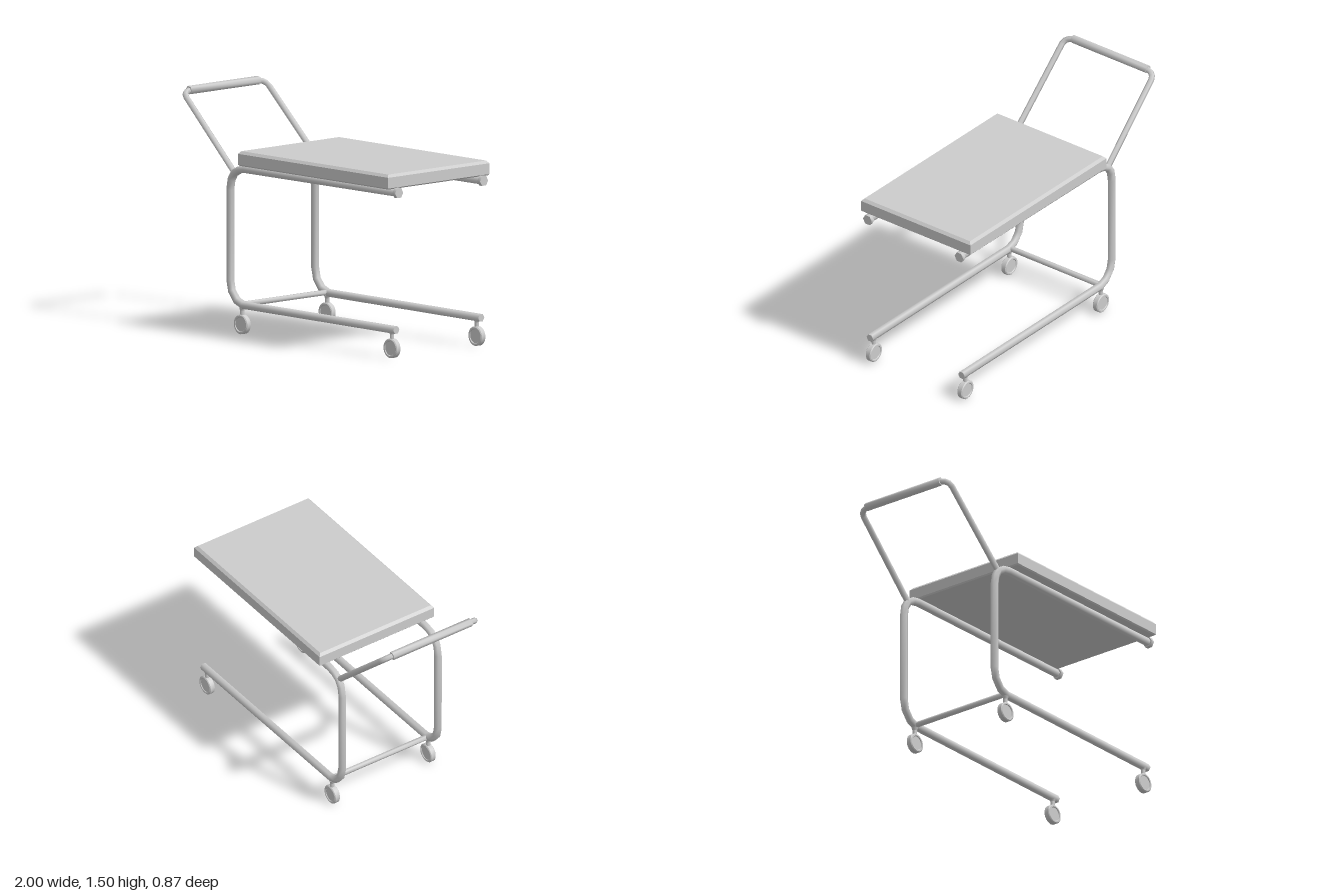
import * as THREE from 'three';
import { toCreasedNormals } from 'three/addons/utils/BufferGeometryUtils.js';
import { ConvexGeometry } from 'three/addons/geometries/ConvexGeometry.js';

const material = new THREE.MeshStandardMaterial({ color: 0xcccccc });
const V = (x, y, z) => new THREE.Vector3(x, y, z);
const X = V(1, 0, 0), Z = V(0, 0, 1);
const SIDE = 0.365; // distance of each side frame from the middle

function add(parent, name, geometry) {
  const mesh = new THREE.Mesh(geometry, material);
  mesh.name = name;
  parent.add(mesh);
  return mesh;
}

// Capped six-sided tube along a planar path; "normal" is the normal of that plane
function hexTube(path, normal, radius) {
  const sides = 6, pos = [], index = [], last = path.length - 1;
  path.forEach((p, i) => {
    const before = path[Math.max(i - 1, 0)], after = path[Math.min(i + 1, last)];
    const tangent = after.clone().sub(p).normalize().add(p.clone().sub(before).normalize()).normalize();
    const across = tangent.cross(normal).normalize();
    for (let j = 0; j < sides; j++) {
      const a = (j / sides) * Math.PI * 2;
      const q = p.clone().addScaledVector(normal, radius * Math.cos(a)).addScaledVector(across, radius * Math.sin(a));
      pos.push(q.x, q.y, q.z);
    }
  });
  pos.push(...path[0].toArray(), ...path[last].toArray());
  const start = path.length * sides, end = start + 1;
  for (let j = 0; j < sides; j++) {
    const k = (j + 1) % sides;
    for (let i = 0; i < last; i++) {
      const a = i * sides, b = a + sides;
      index.push(a + j, a + k, b + k, a + j, b + k, b + j);
    }
    index.push(start, k, j, end, last * sides + j, last * sides + k);
  }
  const geometry = new THREE.BufferGeometry();
  geometry.setAttribute('position', new THREE.Float32BufferAttribute(pos, 3));
  geometry.setIndex(index);
  return toCreasedNormals(geometry, 1.2);
}

// Wheel with recessed hub faces, on a short flared stem
function makeCaster(x, z) {
  const caster = new THREE.Group();
  caster.name = 'caster';
  const half = [[0.0, 0.015], [0.044, 0.015], [0.047, 0.02], [0.056, 0.02], [0.062, 0.015]];
  const profile = [
    ...half.map(([r, h]) => new THREE.Vector2(r, -h)),
    ...half.slice().reverse().map(([r, h]) => new THREE.Vector2(r, h)),
  ];
  const wheel = new THREE.LatheGeometry(profile, 18).rotateX(Math.PI / 2);
  add(caster, 'wheel', toCreasedNormals(wheel, 0.6)).position.y = 0.062;
  add(caster, 'stem', new THREE.CylinderGeometry(0.014, 0.014, 0.05, 10)).position.y = 0.135;
  add(caster, 'stemCollar', new THREE.CylinderGeometry(0.021, 0.014, 0.02, 10)).position.y = 0.16;
  caster.position.set(x, 0, z);
  return caster;
}

export function createModel() {
  const cart = new THREE.Group();
  cart.name = 'trolley';

  // Tray slab with a wide bevel on top and a fine one below
  const corners = [];
  for (const [y, inset] of [[1.072, 0.008], [1.08, 0], [1.148, 0], [1.165, 0.016]])
    for (const sx of [-1, 1])
      for (const sz of [-1, 1])
        corners.push(V(0.295 + sx * (0.68 - inset), y, sz * (0.436 - inset)));
  add(cart, 'tray', new ConvexGeometry(corners));

  // Side frames: top rail, bend, upright, bend, bottom rail
  const outline = [
    [0.985, 1.047], [-0.39, 1.043], [-0.445, 1.033], [-0.49, 1.008], [-0.517, 0.965], [-0.528, 0.9],
    [-0.528, 0.33], [-0.513, 0.262], [-0.468, 0.207], [-0.41, 0.184], [0.975, 0.18],
  ];
  for (const s of [-1, 1]) {
    const z = s * SIDE;
    add(cart, 'sideFrame', hexTube(outline.map(([x, y]) => V(x, y, z)), Z, 0.026));
    add(cart, 'railCap', hexTube([V(0.975, 1.047, z), V(1, 1.047, z)], Z, 0.035));
    for (const x of [-0.42, 0.935]) cart.add(makeCaster(x, z));
  }

  // Bar joining the bottom rails
  add(cart, 'crossBar', hexTube([V(-0.42, 0.187, -SIDE), V(-0.42, 0.187, SIDE)], X, 0.018));

  // Sloping push handle with a thicker grip
  const arm = [
    [-0.49, 1.008, 0.363], [-0.935, 1.433, 0.355], [-0.953, 1.45, 0.347],
    [-0.965, 1.462, 0.328], [-0.972, 1.469, 0.295],
  ];
  const path = [
    ...arm.map(([x, y, z]) => V(x, y, z)),
    ...arm.slice().reverse().map(([x, y, z]) => V(x, y, -z)),
  ];
  const slopeNormal = V(0.461, 0.482, 0).normalize();
  add(cart, 'handle', hexTube(path, slopeNormal, 0.019));
  add(cart, 'grip', hexTube([V(-0.973, 1.47, -0.3), V(-0.973, 1.47, 0.3)], slopeNormal, 0.027));

  return cart;
}
